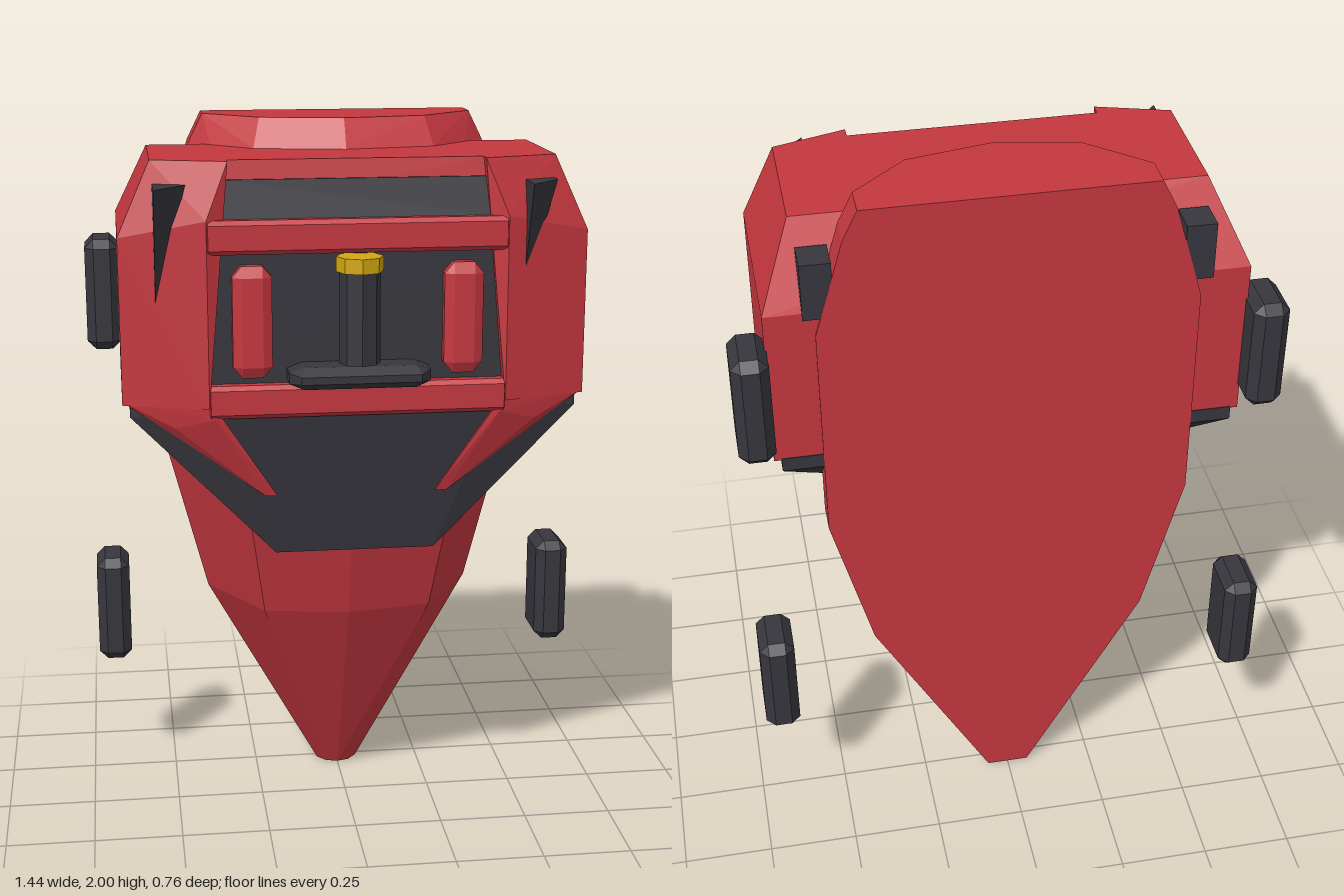
import * as THREE from 'three';
import { ConvexGeometry } from 'three/addons/geometries/ConvexGeometry.js';

export function createModel() {
  const model = new THREE.Group();
  const paint = (name, color) => {
    const m = new THREE.MeshStandardMaterial({ color });
    m.name = name;
    return m;
  };
  const red = paint('red armour', 0xc4373f);
  const dark = paint('dark metal', 0x37363d);
  const gold = paint('gold', 0xd2a60e);

  const add = (name, geometry, material) => {
    const mesh = new THREE.Mesh(geometry, material);
    mesh.name = name;
    model.add(mesh);
    return mesh;
  };
  // Faceted solid around a few corner points
  const hull = (name, pts, material) =>
    add(name, new ConvexGeometry(pts.map(p => new THREE.Vector3(...p))), material);
  const mirror = pts => pts.flatMap(([x, y, z]) => [[x, y, z], [-x, y, z]]);
  // Box from min to max corner
  const box = (name, a, b, material) => {
    const mesh = add(name, new THREE.BoxGeometry(b[0] - a[0], b[1] - a[1], b[2] - a[2]), material);
    mesh.position.set((a[0] + b[0]) / 2, (a[1] + b[1]) / 2, (a[2] + b[2]) / 2);
    return mesh;
  };
  // Box with every edge cut by c
  const chamferBox = (name, a, b, c, material) => {
    const pts = [];
    for (const sx of [0, 1]) for (const sy of [0, 1]) for (const sz of [0, 1])
      for (let k = 0; k < 3; k++) {
        const s = [sx, sy, sz];
        pts.push(s.map((v, i) => {
          const inset = i === k ? 0 : c[i];
          return v ? b[i] - inset : a[i] + inset;
        }));
      }
    return hull(name, pts, material);
  };

  // Long tapering spine: [y, half width, shoulder x, shoulder z, front z]
  const back = -0.29;
  const sections = [
    [0, 0.06, 0.035, -0.2, -0.19],
    [0.6, 0.39, 0.24, 0.05, 0.09],
    [1.02, 0.5, 0.3, 0.15, 0.2],
    [1.25, 0.5, 0.3, 0.16, 0.22],
    [1.65, 0.5, 0.3, 0.1, 0.16],
    [1.92, 0.42, 0.25, -0.02, 0.03],
    [2, 0.38, 0.23, -0.065, -0.02],
  ];
  hull('spine', sections.flatMap(([y, w, sx, sz, f]) => [
    ...mirror([[w, y, back], [w, y, Math.min(-0.2, sz - 0.03)], [sx, y, sz]]), [0, y, f],
  ]), red);

  // Chest block with sloped back shoulders
  hull('chest', mirror([
    [0.63, 1.27, -0.286], [0.63, 1.72, -0.286], [0.54, 1.92, -0.15],
    [0.63, 1.27, 0.225], [0.63, 1.72, 0.225], [0.54, 1.92, 0.205],
    [0.4, 1.27, 0.26], [0.4, 1.77, 0.26], [0.34, 1.92, 0.235],
  ]), red);

  // Dark skirt under the chest
  hull('skirt', mirror([
    [0.61, 1.275, -0.288], [0.61, 1.235, -0.288], [0.61, 1.275, 0.225], [0.61, 1.235, 0.225],
    [0.4, 1.275, 0.28], [0.38, 1.24, 0.28], [0.22, 0.835, 0.22], [0.22, 0.835, 0.12],
  ]), dark);

  for (const s of [1, -1]) {
    const side = pts => pts.map(([x, y, z]) => [s * x, y, z]);
    const label = s > 0 ? 'left' : 'right';

    hull(label + 'Cheek', side([
      [0.63, 1.27, 0.23], [0.63, 1.72, 0.23], [0.54, 1.92, 0.21],
      [0.34, 1.92, 0.27], [0.4, 1.77, 0.3], [0.4, 1.27, 0.3],
      [0.63, 1.27, 0.15], [0.63, 1.72, 0.15], [0.54, 1.92, 0.15],
      [0.34, 1.92, 0.15], [0.4, 1.27, 0.15],
    ]), red);

    // Tooth running from the cheek down over the skirt
    hull(label + 'Tooth', side([
      [0.63, 1.28, 0.23], [0.39, 1.28, 0.3], [0.385, 1.24, 0.298],
      [0.217, 1.01, 0.258], [0.25, 1.01, 0.254], [0.49, 1.21, 0.262],
      [0.63, 1.28, 0.18], [0.39, 1.25, 0.2], [0.23, 1.02, 0.2], [0.49, 1.21, 0.2],
    ]), red);

    // Spikes on both sides point the same way
    const x = s > 0 ? 0.45 : -0.535;
    hull(label + 'Spike', [
      [x, 1.86, 0.36], [x + 0.085, 1.86, 0.265], [x, 1.86, 0.2],
      [x + 0.085, 1.86, 0.2], [x, 1.54, 0.255], [x, 1.54, 0.2],
    ], dark);

    const span = (x0, x1) => (s > 0 ? [x0, x1] : [-x1, -x0]);
    const [b0, b1] = span(0.45, 0.53);
    box(label + 'ShoulderBlock', [b0, 1.7, -0.289], [b1, 1.86, -0.2], dark);

    const [w0, w1] = span(0.625, 0.722);
    for (const [pos, y] of [['Upper', 1.325], ['Lower', 0.362]])
      chamferBox(label + pos + 'Wheel', [w0, y, -0.38], [w1, y + 0.32, -0.21], [0.025, 0.025, 0.025], dark);

    const [p0, p1] = span(0.23, 0.335);
    chamferBox(label + 'Pad', [p0, 1.35, 0.25], [p1, 1.65, 0.308], [0.025, 0.03, 0.015], red);
  }

  // Front window and recessed panel
  hull('window', mirror([
    [0.385, 1.765, 0.273], [0.352, 1.87, 0.25], [0.385, 1.765, 0.264], [0.352, 1.87, 0.242],
  ]), dark);
  box('frontPanel', [-0.4, 1.32, 0.259], [0.4, 1.69, 0.267], dark);
  for (const [name, y] of [['upperBar', 1.68], ['lowerBar', 1.24]])
    chamferBox(name, [-0.4, y, 0.22], [0.4, y + 0.09, 0.304], [0.004, 0.012, 0.012], red);

  // Central barrel with gold collar and foot plate
  const barrel = add('barrel', new THREE.CylinderGeometry(0.055, 0.055, 0.26, 8).toNonIndexed(), dark);
  barrel.geometry.computeVertexNormals();
  barrel.position.set(0, 1.52, 0.315);
  const collar = add('collar', new THREE.CylinderGeometry(0.063, 0.063, 0.04, 8).toNonIndexed(), gold);
  collar.geometry.computeVertexNormals();
  collar.position.set(0, 1.655, 0.313);
  hull('footPlate', mirror([
    [0.19, 1.34, 0.26], [0.19, 1.37, 0.26], [0.19, 1.34, 0.33], [0.19, 1.37, 0.33],
    [0.15, 1.325, 0.26], [0.15, 1.385, 0.26], [0.15, 1.325, 0.34], [0.15, 1.385, 0.34],
    [0.16, 1.345, 0.37], [0.16, 1.365, 0.37],
  ]), dark);

  return model;
}
